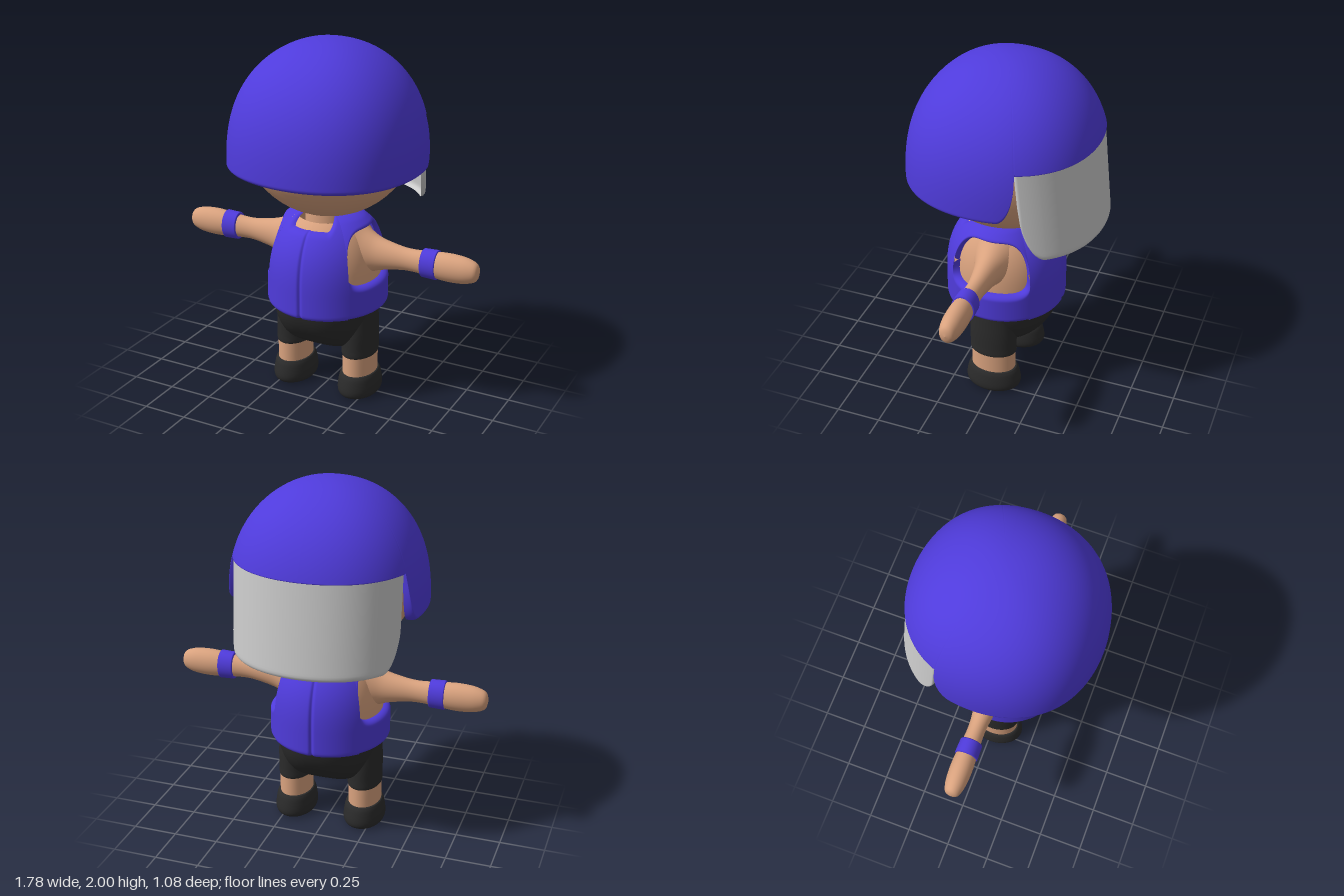
import * as THREE from 'three';

const mat = (color) => new THREE.MeshStandardMaterial({ color, side: THREE.DoubleSide });
const BLUE = mat(0x4f3bdb), SKIN = mat(0xd9a27e), BLACK = mat(0x2b2b2b), GREY = mat(0xcccccc);

const range = (a, b, n) => Array.from({ length: n + 1 }, (_, i) => a + (b - a) * i / n);
const round = (k) => 1 - Math.sqrt(Math.max(0, 1 - k * k)); // quarter-circle ease

// Surface swept around y: section(degrees) returns a list of [radius, y, zShift]
function sweep(angles, section) {
  const pos = [], idx = [];
  let n = 0;
  angles.forEach((a, i) => {
    const pts = section(a), t = a * Math.PI / 180;
    n = pts.length;
    for (const [r, y, z = 0] of pts) pos.push(r * Math.sin(t), y, r * Math.cos(t) + z);
    if (i === 0) return;
    for (let j = 0; j < n - 1; j++) {
      const p = (i - 1) * n + j, q = p + n;
      idx.push(p, q, q + 1, p, q + 1, p + 1);
    }
  });
  const g = new THREE.BufferGeometry();
  g.setAttribute('position', new THREE.Float32BufferAttribute(pos, 3));
  g.setIndex(idx);
  g.computeVertexNormals();
  return g;
}

// Vertical strip from y0 to y1 with edges rolled inwards by t over height h
function strip(y0, y1, R, t, h, rollTop = true, n = 36) {
  return range(0, Math.PI, n).map((s) => {
    const y = y0 + (y1 - y0) * (1 - Math.cos(s)) / 2;
    const e = rollTop ? Math.min(y - y0, y1 - y) : y - y0;
    return [Math.max(0, R(y) - t * round(Math.max(0, 1 - e / h))), y];
  });
}

export function createModel() {
  const model = new THREE.Group();
  const add = (name, geo, material, x = 0, y = 0, z = 0) => {
    const m = new THREE.Mesh(geo, material);
    m.name = name;
    m.position.set(x, y, z);
    model.add(m);
    return m;
  };
  const lathe = (pts) => new THREE.LatheGeometry(
    new THREE.SplineCurve(pts.map(([r, y]) => new THREE.Vector2(r, y))).getPoints(40)
      .map((p) => new THREE.Vector2(Math.max(0, p.x), p.y)), 40);

  // Head and neck
  add('head', new THREE.SphereGeometry(1, 48, 32), SKIN, 0, 1.5, 0).scale.set(0.475, 0.46, 0.47);
  add('neck', new THREE.CylinderGeometry(0.12, 0.125, 0.2, 40), SKIN, 0, 1.0, 0.015);

  // Hips: half ball that grows wider and flatter towards the crotch
  const hips = new THREE.SphereGeometry(1, 64, 32, 0, Math.PI * 2, Math.PI / 2, Math.PI / 2);
  const p = hips.attributes.position;
  for (let i = 0; i < p.count; i++) {
    const x = p.getX(i);
    p.setX(i, Math.sign(x) * Math.pow(Math.abs(x), 1 + 0.5 * p.getY(i)));
  }
  hips.scale(0.298, 0.33, 0.32);
  hips.computeVertexNormals();
  add('hips', hips, BLACK, 0, 0.6, 0.015);

  // Helmet: slightly squared dome, deep at the front and sides, cut high at the back
  const square = (a) => 1 + 0.03 * Math.sin(a * Math.PI / 90) ** 2;
  const helmetR = (y) => 0.535 * Math.sqrt(Math.max(0, 1 - Math.pow(Math.max(0, (y - 1.32) / 0.68), 2.5)));
  const half = [...range(0, 102, 40), ...range(102.5, 114.5, 26), ...range(117, 180, 24)];
  const around = [...half.slice(1).reverse().map((a) => -a), ...half];
  add('helmet', sweep(around, (a) => {
    const k = THREE.MathUtils.clamp((Math.abs(a) - 103) / 10.5, 0, 1);
    const roll = 1 - round(k);
    return strip(1.31 + 0.28 * round(k), 2, (y) => helmetR(y) * square(a),
      0.025 + 0.04 * roll, 0.006 + 0.024 * roll, false, 56);
  }), BLUE, 0, 0, 0.005);

  // Neck guard: slanted shield with rounded lower corners
  add('neckGuard', sweep([...range(113, 127, 20), ...range(129, 231, 44), ...range(233, 247, 20)], (a) => {
    const b = Math.min(a - 113, 247 - a);
    const low = 1.08 + 0.3 * round(Math.max(0, 1 - b / 14));
    const side = 0.02 * round(Math.max(0, 1 - b / 1.5));
    return strip(low, 1.61, () => 0.498 * square(a) - side, 0.026, 0.03, false, 30)
      .map(([r, y]) => [r, y, -0.05 * (1.6 - y) / 0.5]);
  }), GREY, 0, 0, 0.002);

  // Vest: grooved down the middle of front and back, with a scooped neck
  const vest = new THREE.Group();
  vest.name = 'vest';
  vest.position.z = 0.015;
  model.add(vest);
  const vestR = (y) => 0.335 * Math.sqrt(Math.max(0, 1 - Math.pow(Math.max(0, (y - 0.66) / 0.44), 2.6)));
  const vestPart = (name, angles, section) => {
    const m = new THREE.Mesh(sweep(angles, section), BLUE);
    m.name = name;
    vest.add(m);
  };
  const HEM = 0.525, TOP = 1.063, MID = 0.82, EDGE = 47;
  const panel = [...range(-EDGE, -8, 24), ...range(-7, 7, 28), ...range(8, EDGE, 24)];
  const groove = (a) => 1 - 0.035 * Math.exp(-((a / 1.8) ** 2));
  vestPart('vestFront', panel, (a) => {
    const s = THREE.MathUtils.smoothstep(Math.abs(a), 27, 46);
    return strip(HEM, 1.0 + (TOP - 1.0) * s, (y) => vestR(y) * groove(a), 0.025, 0.025);
  });
  vestPart('vestBack', panel.map((a) => a + 180), (a) =>
    strip(HEM, TOP, (y) => vestR(y) * groove(a - 180), 0.025, 0.025));
  // Side pieces below and above each armhole
  for (const s of [1, -1]) {
    const angles = range(0, Math.PI, 60).map((t) => 90 * s - 43 * Math.cos(t));
    const w = (a) => Math.min(1, Math.abs(a - 90 * s) / 43);
    vestPart('vestSide', angles, (a) =>
      strip(HEM, MID - 0.115 * Math.pow(1 - w(a) ** 6, 0.3), vestR, 0.04, 0.03));
    vestPart('vestShoulder', angles, (a) =>
      strip(MID + 0.175 * Math.pow(1 - w(a) ** 4, 0.4), TOP,
        (y) => vestR(y) + 0.025 * (1 - w(a) ** 2), 0.035, 0.025));
  }

  // Torso follows the vest just beneath it
  add('torso', sweep(range(0, 360, 64), () => strip(0.55, 1.03, (y) => vestR(y) - 0.04, 0, 1)),
    SKIN, 0, 0, 0.015);

  // Limbs, mirrored left and right
  const arm = lathe([[0.21, 0.15], [0.155, 0.21], [0.12, 0.26], [0.092, 0.32], [0.07, 0.42], [0.062, 0.5],
    [0.068, 0.6], [0.078, 0.7], [0.076, 0.78], [0.066, 0.835], [0.045, 0.875], [0, 0.888]]);
  const band = new THREE.LatheGeometry([[0.06, 0.57], [0.077, 0.57], [0.08, 0.575], [0.083, 0.65],
    [0.08, 0.655], [0.06, 0.655]].map(([r, y]) => new THREE.Vector2(r, y)), 40);
  const trouser = lathe([[0.08, 0.247], [0.094, 0.25], [0.095, 0.3], [0.095, 0.4], [0.088, 0.55]]);
  const shoe = lathe([[0, 0], [0.085, 0], [0.108, 0.01], [0.116, 0.04], [0.111, 0.09],
    [0.102, 0.125], [0.085, 0.136], [0, 0.137]]);
  for (const [side, s] of [['left', 1], ['right', -1]]) {
    for (const [name, geo, material] of [['Arm', arm, SKIN], ['Wristband', band, BLUE]]) {
      const m = add(side + name, geo, material, 0, 0.85, 0.012);
      m.rotation.z = -s * Math.PI / 2;
      m.scale.z = 0.78;
    }
    add(side + 'TrouserLeg', trouser, BLACK, s * 0.206, 0, 0.018).scale.z = 1.42;
    add(side + 'Leg', new THREE.CylinderGeometry(0.091, 0.091, 0.2, 40), SKIN, s * 0.206, 0.19, 0.018).scale.z = 1.4;
    add(side + 'Shoe', shoe, BLACK, s * 0.206, 0, 0.017).scale.z = 1.38;
  }
  return model;
}
